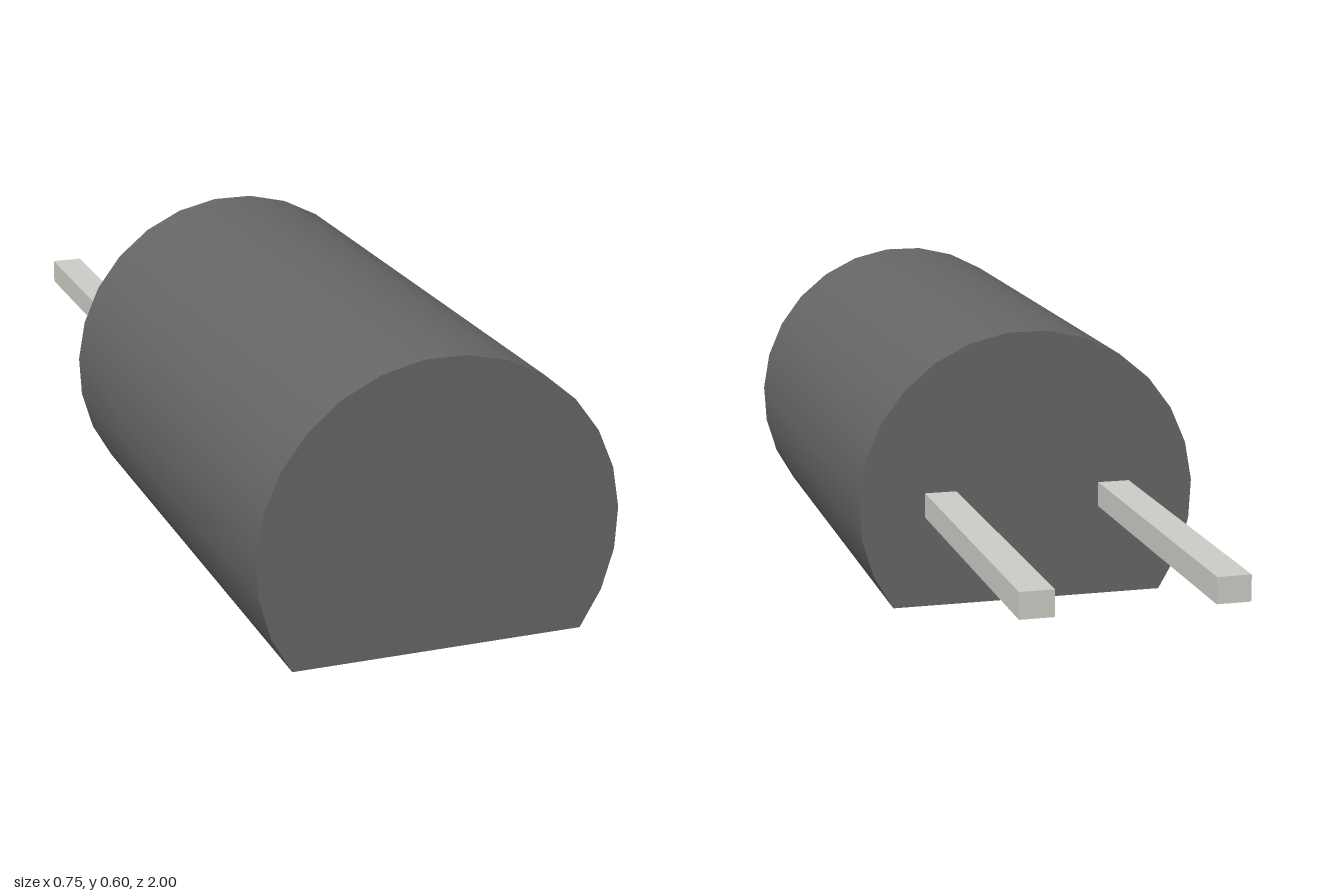
import * as THREE from 'three';
import { toCreasedNormals } from 'three/addons/utils/BufferGeometryUtils.js';

const RADIUS = 0.3755, CENTRE_Y = 0.223, ARC_SEGMENTS = 19;
const BACK = -1, BODY_BACK = -0.23, FRONT = 1;

// Circular section cut flat at y = 0
function bodySection() {
  const start = -Math.asin(CENTRE_Y / RADIUS);
  const step = (Math.PI - 2 * start) / ARC_SEGMENTS;
  const points = [];
  for (let i = 0; i <= ARC_SEGMENTS; i++) {
    const a = start + i * step;
    points.push(new THREE.Vector2(RADIUS * Math.cos(a), CENTRE_Y + RADIUS * Math.sin(a)));
  }
  return new THREE.Shape(points);
}

export function createModel() {
  const model = new THREE.Group();
  model.name = 'electronicComponent';
  const bodyMaterial = new THREE.MeshStandardMaterial({ color: 0x666666 });
  const leadMaterial = new THREE.MeshStandardMaterial({ color: 0xccccc6 });

  // Flat-bottomed body, smooth around the arc and sharp at the flat and ends
  const bodyGeometry = new THREE.ExtrudeGeometry(bodySection(), {
    depth: FRONT - BODY_BACK, bevelEnabled: false,
  });
  bodyGeometry.translate(0, 0, BODY_BACK);
  const body = new THREE.Mesh(toCreasedNormals(bodyGeometry, 0.5), bodyMaterial);
  body.name = 'body';
  model.add(body);

  // Pair of rectangular leads out of the back
  const leadGeometry = new THREE.BoxGeometry(0.07, 0.054, BODY_BACK - BACK);
  for (const [name, side] of [['leftLead', 1], ['rightLead', -1]]) {
    const lead = new THREE.Mesh(leadGeometry, leadMaterial);
    lead.name = name;
    lead.position.set(side * 0.195, 0.226, (BODY_BACK + BACK) / 2);
    model.add(lead);
  }
  return model;
}
